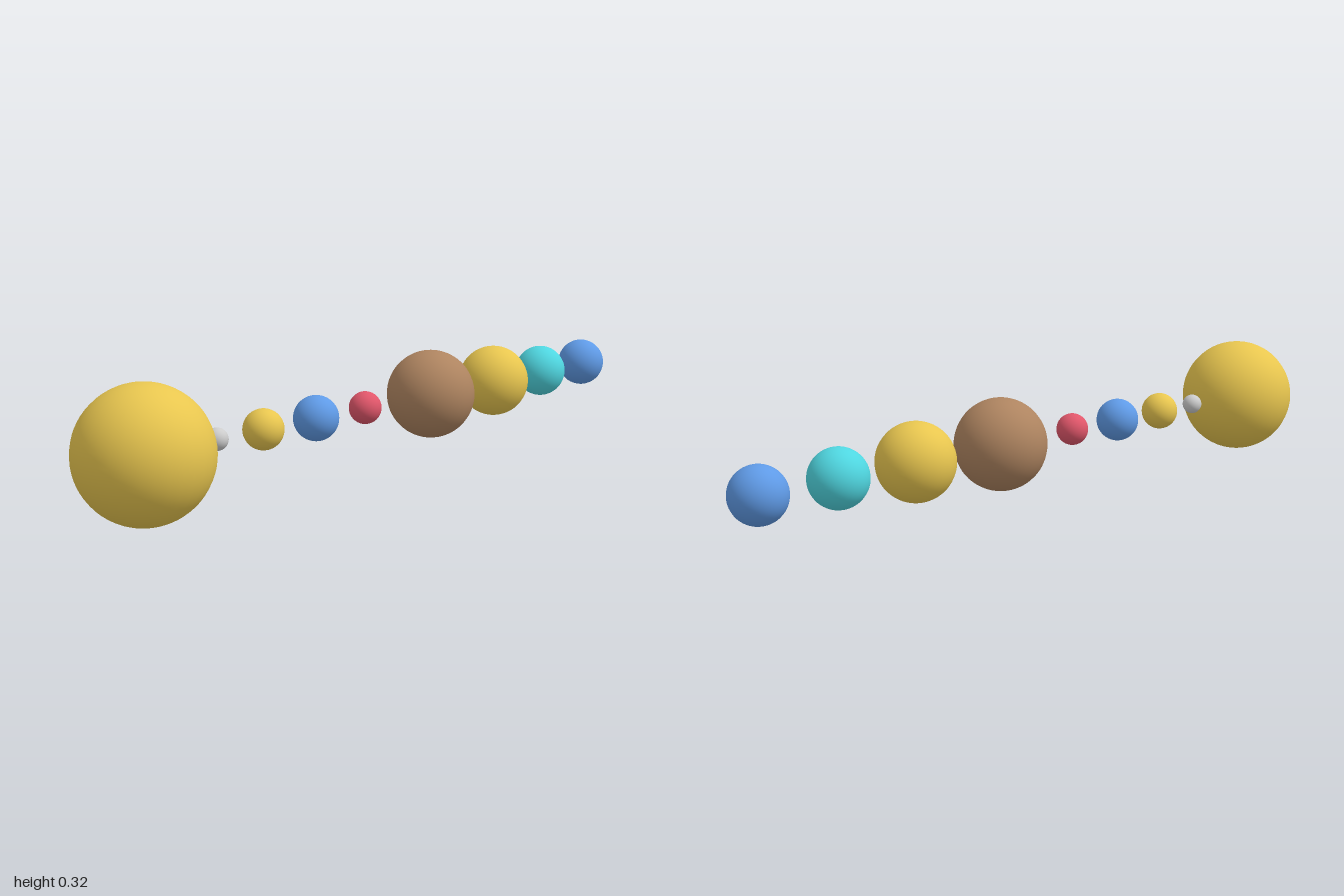
import * as THREE from 'three';

const AXIS_Y = 0.163; // shared height of all centres

// name, centre x, radius, color
const BODIES = [
  ['sun', -0.84, 0.16, 0xe8c64f],
  ['firstPlanet', -0.619, 0.027, 0xcccccc],
  ['secondPlanet', -0.466, 0.05, 0xe8c64f],
  ['thirdPlanet', -0.28, 0.057, 0x5f9ae6],
  ['fourthPlanet', -0.093, 0.042, 0xe0566a],
  ['fifthPlanet', 0.18, 0.118, 0xae8460],
  ['sixthPlanet', 0.47, 0.098, 0xe8c64f],
  ['seventhPlanet', 0.708, 0.0725, 0x4fd6e0],
  ['eighthPlanet', 0.932, 0.068, 0x5f9ae6],
];

export function createModel() {
  const group = new THREE.Group();
  group.name = 'planetRow';

  // Row of smooth spheres, from the sun outwards
  for (const [name, x, radius, color] of BODIES) {
    const body = new THREE.Mesh(
      new THREE.SphereGeometry(radius, 32, 32),
      new THREE.MeshStandardMaterial({ color })
    );
    body.name = name;
    body.position.set(x, AXIS_Y, 0);
    group.add(body);
  }
  return group;
}
